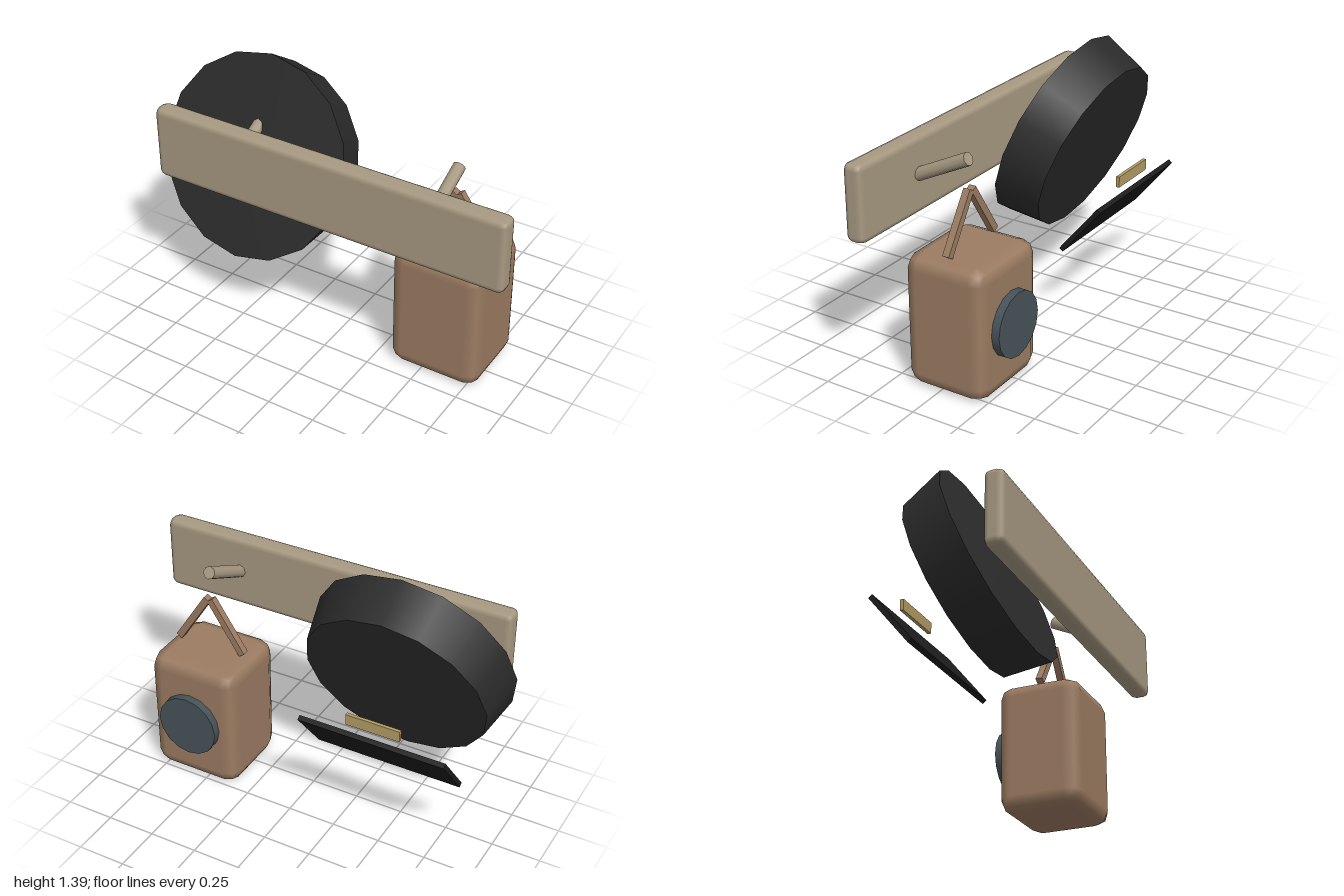
import * as THREE from 'three';
import { RoundedBoxGeometry } from 'three/addons/geometries/RoundedBoxGeometry.js';

const mat = (color) => new THREE.MeshStandardMaterial({ color });
const wood = mat(0xa89a82), leather = mat(0x9c7c62), felt = mat(0x2b2b2b);
const black = mat(0x1c1c1c), brass = mat(0xb39c66), slate = mat(0x475259);

function add(parent, name, geometry, material, x, y, z) {
  const mesh = new THREE.Mesh(geometry, material);
  mesh.name = name;
  mesh.position.set(x, y, z);
  parent.add(mesh);
  return mesh;
}

// Box of the given outer size with a single softened chamfer on every edge
function chamferBox(w, h, d, chamfer) {
  const r = chamfer / 0.6, grow = 0.19 * r;
  return new RoundedBoxGeometry(w + grow, h + grow, d + grow, 1, r);
}

// Turn a mesh so its own y axis runs from a to b
function span(mesh, a, b) {
  mesh.position.copy(a).add(b).multiplyScalar(0.5);
  mesh.quaternion.setFromUnitVectors(new THREE.Vector3(0, 1, 0), b.clone().sub(a).normalize());
}

export function createModel() {
  const model = new THREE.Group();
  model.name = 'coatRack';
  const hatX = -0.48, bagX = 0.568;

  // Wall rail with two sloping pegs
  add(model, 'rail', chamferBox(1.9, 0.38, 0.095, 0.02), wood, 0.045, 0.955, 0.297);
  for (const x of [hatX, bagX]) {
    const a = new THREE.Vector3(x, 0.962, 0.25), b = new THREE.Vector3(x, 1.1, -0.033);
    span(add(model, 'peg', new THREE.CylinderGeometry(0.033, 0.033, a.distanceTo(b), 8), wood, 0, 0, 0), a, b);
  }

  // Peaked cap: tapered crown, slightly domed top, brim and band badge
  const cap = new THREE.Group();
  cap.name = 'cap';
  const crown = new THREE.Group();
  crown.name = 'crown';
  crown.position.set(hatX, 0.855, 0.026);
  crown.rotation.x = 1.199;
  add(crown, 'crownBody', new THREE.CylinderGeometry(0.52, 0.47, 0.234, 16), felt, 0, 0, 0);
  add(crown, 'crownTop', new THREE.ConeGeometry(0.52, 0.018, 16, 1, true), felt, 0, 0.126, 0);
  cap.add(crown);
  const brim = add(cap, 'brim', new THREE.BoxGeometry(0.76, 0.335, 0.025), black, hatX, 0.526, -0.224);
  brim.rotation.x = -0.68;
  add(cap, 'badge', new THREE.BoxGeometry(0.28, 0.057, 0.018), brass, hatX, 0.718, -0.3);
  model.add(cap);

  // Bag with a round disc on the back
  const bag = new THREE.Group();
  bag.name = 'bag';
  add(bag, 'bagBody', chamferBox(0.475, 0.667, 0.425, 0.045), leather, bagX, 0.3335, -0.0375);
  const disc = add(bag, 'disc', new THREE.CylinderGeometry(0.165, 0.165, 0.055, 16), slate, bagX, 0.335, -0.271);
  disc.rotation.x = Math.PI / 2;

  // Strap halves meeting over the peg
  for (const side of [-1, 1]) {
    const a = new THREE.Vector3(bagX + side * 0.185, 0.685, -0.037);
    const b = new THREE.Vector3(bagX + side * 0.008, 0.955, -0.037);
    span(add(bag, 'strap', new THREE.BoxGeometry(0.036, a.distanceTo(b), 0.036), leather, 0, 0, 0), a, b);
  }
  model.add(bag);
  return model;
}
